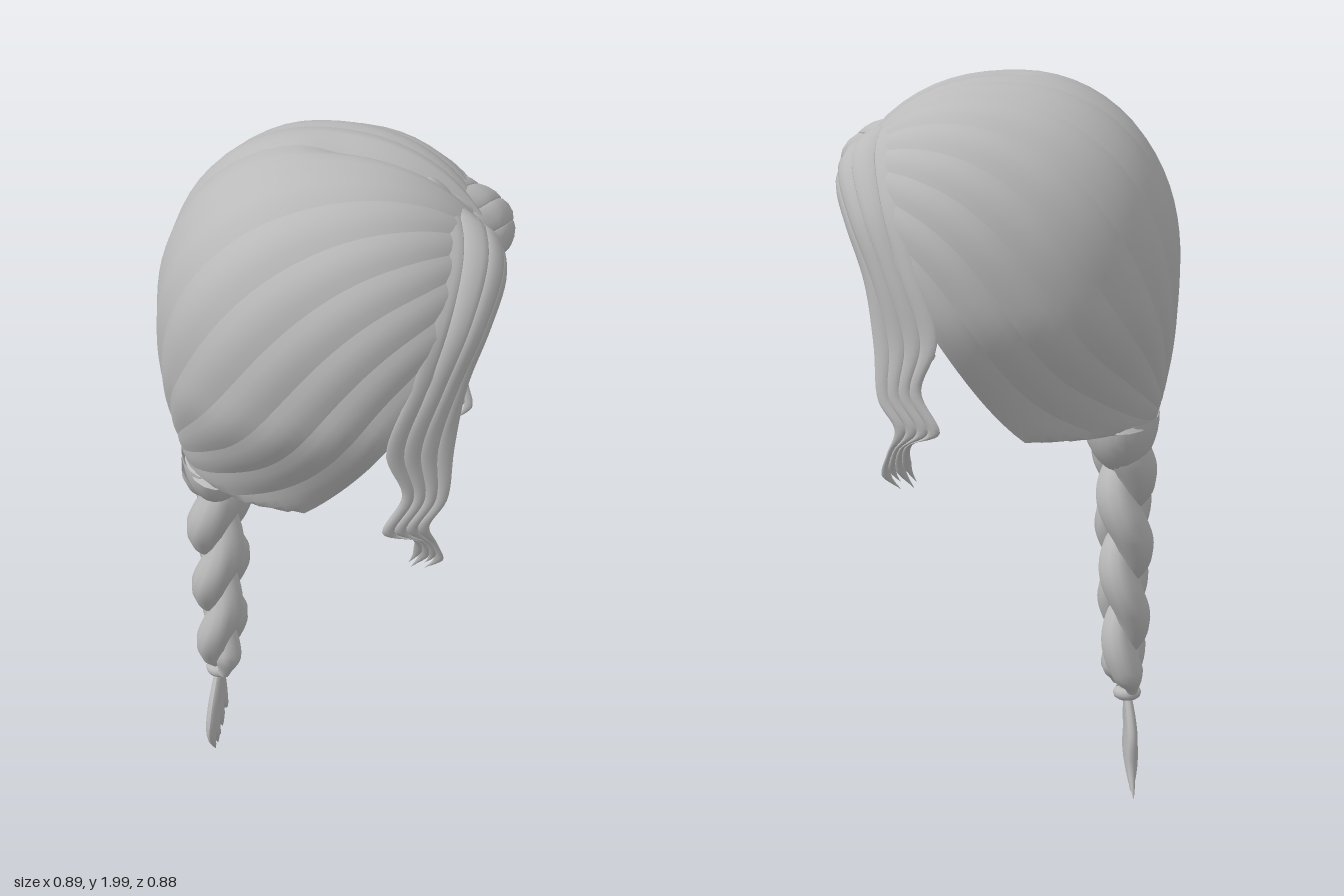
import * as THREE from 'three';

const { smoothstep, lerp, clamp } = THREE.MathUtils;
const V = (x, y, z) => new THREE.Vector3(x, y, z);

// Smooth grid surface from a rule fn(u, v) -> Vector3
function sheet(fn, nu, nv) {
  const pos = [], idx = [];
  for (let j = 0; j <= nv; j++)
    for (let i = 0; i <= nu; i++) pos.push(...fn(i / nu, j / nv).toArray());
  for (let j = 0; j < nv; j++)
    for (let i = 0; i < nu; i++) {
      const a = j * (nu + 1) + i, b = a + nu + 1;
      idx.push(a, a + 1, b, b, a + 1, b + 1);
    }
  const g = new THREE.BufferGeometry();
  g.setAttribute('position', new THREE.Float32BufferAttribute(pos, 3));
  g.setIndex(idx);
  g.computeVertexNormals();
  return g;
}

// Head shape: value below 1 is inside
function headValue(p) {
  const rx = p.x > 0 ? 0.465 : 0.442;
  const ry = p.y > 1.5 ? 0.499 : 0.8;
  const rz = 0.433 * (1 - 0.22 * smoothstep(1.45 - p.y, 0, 0.35));
  return Math.abs(p.x / rx) ** 2.2 + Math.abs((p.y - 1.5) / ry) ** 2.2 + Math.abs(p.z / rz) ** 2.2;
}

// Combed strands run from the nape (v = 0) to the forehead (v = 1) around this tilted axis;
// w goes from the parting to the lower rim
const MID = V(0.02, 1.41, 0), AXIS = V(-0.8, -0.6, 0), UP = V(-0.6, 0.8, 0);
function headPoint(w, v, lift) {
  const theta = Math.PI * v;
  const lon = w * (103 + 25.5 * (1 - smoothstep(v, 0.28, 0.75))) * Math.PI / 180;
  const d = AXIS.clone().multiplyScalar(Math.cos(theta))
    .addScaledVector(UP, Math.sin(theta) * Math.cos(lon));
  d.z = Math.sin(theta) * Math.sin(lon);
  let lo = 0, hi = 1.2;
  for (let k = 0; k < 24; k++) {
    const m = (lo + hi) / 2;
    if (headValue(MID.clone().addScaledVector(d, m)) < 1) lo = m; else hi = m;
  }
  // groove of the parting, from crown to forehead
  const x = MID.x + d.x * lo;
  const groove = 0.025 * Math.exp(-((lon / 0.07) ** 2)) * smoothstep(x, -0.1, 0.05);
  const p = MID.clone().addScaledVector(d, lo + lift * Math.sin(theta) - groove);
  p.y = Math.max(p.y, 1.088);
  return p;
}

export function createModel() {
  const model = new THREE.Group();
  const hair = new THREE.MeshStandardMaterial({ color: 0xbababa, side: THREE.DoubleSide });
  hair.name = 'hair grey';
  const add = (geo, name, parent = model) => {
    const m = new THREE.Mesh(geo, hair);
    m.name = name;
    parent.add(m);
    return m;
  };
  const group = (name) => {
    const g = new THREE.Group();
    g.name = name;
    model.add(g);
    return g;
  };

  // Cap of swept-back strands over a smooth lining, mirrored about the parting
  const cap = group('hairCap');
  const STRANDS = 8;
  for (const s of [1, -1]) {
    const side = V(1, 1, s);
    for (let k = 0; k < STRANDS; k++)
      add(sheet((u, v) => headPoint((k + u) / STRANDS, v, 0.008 * Math.sin(Math.PI * u) - 0.003)
        .multiply(side), 4, 40), 'capStrand', cap);
    add(sheet((u, v) => headPoint(u, v, -0.014).multiply(side), 24, 40), 'capLining', cap);
  }

  // Cone of nape hair gathered inside the cap
  add(sheet((u, v) => {
    const a = 2 * Math.PI * u;
    const base = V(-0.27 + 0.12 * Math.cos(a), 1.09, 0.235 * Math.sin(a));
    return V(-0.05, 1.42, 0).lerp(base, v);
  }, 24, 4), 'napeGather');

  // Face-framing locks: strands between a rear and a front rail
  const rear = new THREE.CatmullRomCurve3([
    V(0.24, 1.925, 0), V(0.29, 1.85, 0.17), V(0.285, 1.71, 0.305), V(0.25, 1.55, 0.375),
    V(0.2, 1.38, 0.415), V(0.24, 1.25, 0.405), V(0.195, 1.15, 0.43), V(0.265, 1.11, 0.39),
    V(0.265, 1.05, 0.36), V(0.235, 0.99, 0.35)]);
  const front = new THREE.CatmullRomCurve3([
    V(0.42, 1.715, 0), V(0.438, 1.695, 0.09), V(0.415, 1.62, 0.195), V(0.375, 1.5, 0.27),
    V(0.355, 1.35, 0.32), V(0.345, 1.22, 0.355), V(0.305, 1.15, 0.38), V(0.325, 1.08, 0.36),
    V(0.338, 1.02, 0.345), V(0.295, 0.975, 0.335)]);
  for (const s of [1, -1]) {
    const lock = group(s > 0 ? 'leftFaceLock' : 'rightFaceLock');
    for (let k = 0; k < 4; k++)
      add(sheet((u, v) => {
        const t = v * [0.97, 1, 0.95, 0.99][k];
        const a = 2 * Math.PI * u;
        const width = Math.min(1, (1 - v) * 10);
        const f = (k + 0.5 - 0.54 * Math.cos(a) * width) / 4;
        const p = rear.getPoint(t).lerp(front.getPoint(t), f);
        const out = V(p.x, 0.9 * Math.max(p.y - 1.5, 0), p.z).normalize();
        const bulge = 0.055 * Math.sin(Math.PI * clamp(f, 0, 1) ** 1.3)
          * (1 - smoothstep(t, 0.08, 0.5)) * lerp(0.35, 1, smoothstep(t, 0, 0.05));
        p.addScaledVector(out, bulge + 0.009 * Math.sin(a) * width);
        p.z = Math.max(p.z, 0) * s;
        return p;
      }, 10, 60), 'lockStrand', lock);
  }

  // Gathered bulge at the top of the braid, flat where it meets the cap
  const bulge = add(new THREE.SphereGeometry(1, 24, 10, 0, Math.PI * 2, Math.PI / 2, Math.PI / 2), 'braidTop');
  bulge.scale.set(0.105, 0.17, 0.21);
  bulge.position.set(-0.295, 1.105, 0);

  // Three-strand braid of plump lobes, tapering downwards
  const braid = group('braid');
  for (let k = 0; k < 3; k++) {
    const phase = (v) => 2 * Math.PI * (v * 1.2 + k / 3);
    const path = (v) => {
      const ph = phase(v), w = lerp(1, 0.66, v);
      return V(lerp(-0.308, -0.315, v) + 0.03 * w * Math.sin(2 * ph),
        lerp(1.06, 0.31, v), 0.007 + 0.08 * w * Math.sin(ph));
    };
    add(sheet((u, v) => {
      const c = path(v), a = 2 * Math.PI * u;
      const tan = path(v + 0.005).sub(path(v - 0.005)).normalize();
      const side = V(1, 0, 0).addScaledVector(tan, -tan.x).normalize();
      const other = tan.clone().cross(side);
      const r = lerp(0.08, 0.056, v) * (0.82 + 0.2 * Math.abs(Math.sin(phase(v))))
        * (1 - 0.6 * smoothstep(v, 0.92, 1));
      return c.addScaledVector(side, 0.75 * r * Math.cos(a)).addScaledVector(other, r * Math.sin(a));
    }, 12, 60), 'braidStrand', braid);
  }

  // Hair tie
  const tie = add(new THREE.TorusGeometry(0.022, 0.017, 10, 20), 'hairTie');
  tie.rotation.x = Math.PI / 2;
  tie.position.set(-0.325, 0.29, 0.008);

  // Loose end: overlapping flat wisps that fan out and curl to one side
  const tail = group('braidEnd');
  const wisps = [[0.07, 0.088, 0.06, 0.02], [0.05, 0.062, 0.025, 0.012], [0.03, 0.032, -0.015, 0.008],
    [0.005, -0.002, -0.045, 0.015], [-0.02, -0.035, -0.078, 0.03], [-0.045, -0.06, -0.115, 0.025]];
  wisps.forEach(([high, mid, tip, low], k) => {
    const curve = new THREE.CatmullRomCurve3([
      V(-0.325, 0.3, 0.008), V(-0.335, 0.19, high), V(-0.34 + 0.008 * (k % 2), 0.1, mid),
      V(-0.335, low, tip)]);
    add(sheet((u, v) => {
      const a = 2 * Math.PI * u;
      const w = 0.026 * Math.pow(Math.sin(Math.PI * Math.min(0.99, 0.15 + 0.85 * v)), 0.7);
      const p = curve.getPoint(v);
      p.x += 0.6 * w * Math.sin(a);
      p.z += w * Math.cos(a);
      return p;
    }, 10, 20), 'endWisp', tail);
  });

  return model;
}
